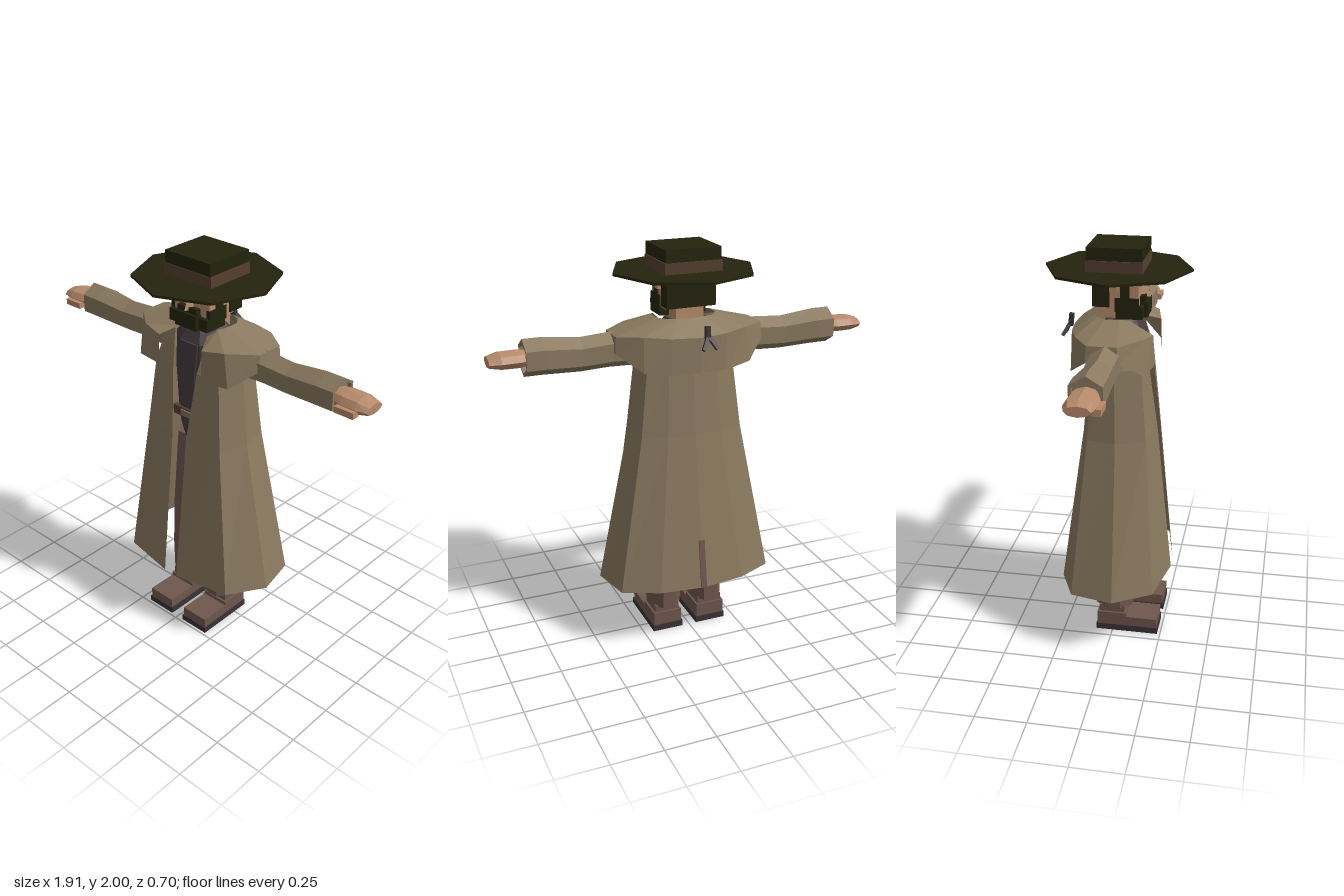
import * as THREE from 'three';

const mat = (name, color, side = THREE.FrontSide) => {
  const m = new THREE.MeshStandardMaterial({ color, side });
  m.name = name;
  return m;
};

// Loft through cross-sections (arrays of [x, y, z]); faces stay flat
function loft(rows, { closed = true, caps = true, flip = false } = {}) {
  const pos = [];
  const tri = (a, b, c) => pos.push(...a, ...(flip ? c : b), ...(flip ? b : c));
  const n = rows[0].length;
  const count = closed ? n : n - 1;
  for (let i = 0; i < rows.length - 1; i++) {
    for (let j = 0; j < count; j++) {
      const k = (j + 1) % n;
      tri(rows[i][j], rows[i][k], rows[i + 1][k]);
      tri(rows[i][j], rows[i + 1][k], rows[i + 1][j]);
    }
  }
  if (caps) {
    const first = rows[0], last = rows[rows.length - 1];
    for (let j = 1; j < n - 1; j++) {
      tri(first[0], first[j + 1], first[j]);
      tri(last[0], last[j], last[j + 1]);
    }
  }
  const g = new THREE.BufferGeometry();
  g.setAttribute('position', new THREE.Float32BufferAttribute(pos, 3));
  g.computeVertexNormals();
  return g;
}

const flat = (g) => {
  const f = g.toNonIndexed();
  f.computeVertexNormals();
  return f;
};

// Mirror a half outline (front to back over +x) to the other side
const mirrorRow = (half) => [
  ...half,
  ...half.filter((p) => p[0] > 0.001).reverse().map(([x, y, z]) => [-x, y, z]),
];

// Upright ring with n sides
const ringY = (n, y, cx, rx, cz, rz, turn = 0.5) =>
  Array.from({ length: n }, (_, i) => {
    const t = ((i + turn) / n) * Math.PI * 2;
    return [cx + Math.sin(t) * rx, y, cz + Math.cos(t) * rz];
  });

// Ring across an arm, with a vertex at the top
const ringX = (s, n, x, cy, ry, rz) =>
  Array.from({ length: n }, (_, i) => {
    const t = (i / n) * Math.PI * 2;
    return [s * x, cy + Math.cos(t) * ry, Math.sin(t) * rz];
  });

export function createModel() {
  const coat = mat('tan coat cloth', 0x8b7a60, THREE.DoubleSide);
  const hat = mat('dark olive hair and hat', 0x23230e);
  const band = mat('brown leather', 0x543f30);
  const skin = mat('skin', 0xb78a6b);
  const vest = mat('charcoal vest', 0x463c3f);
  const cloth = mat('brown trousers', 0x70574e);
  const sole = mat('dark sole', 0x3a3236);
  const metal = mat('buckle', 0x85705c);

  const model = new THREE.Group();
  model.name = 'coatedFigure';
  const add = (name, geometry, material) => {
    const m = new THREE.Mesh(geometry, material);
    m.name = name;
    model.add(m);
    return m;
  };
  // Box given by its limits on each axis
  const box = (name, material, x0, x1, y0, y1, z0, z1) => {
    const m = add(name, new THREE.BoxGeometry(Math.abs(x1 - x0), y1 - y0, z1 - z0), material);
    m.position.set((x0 + x1) / 2, (y0 + y1) / 2, (z0 + z1) / 2);
    return m;
  };

  // Long open coat
  const coatRows = [
    [0.32, [[0.04, 0.28], [0.33, 0.225], [0.445, 0.04], [0.40, -0.17], [0.22, -0.25], [0, -0.277]]],
    [1.1, [[0.045, 0.2], [0.235, 0.17], [0.285, 0.03], [0.26, -0.11], [0.14, -0.15], [0, -0.162]]],
    [1.45, [[0.075, 0.155], [0.2, 0.14], [0.25, 0.02], [0.22, -0.09], [0.12, -0.12], [0, -0.13]]],
    [1.62, [[0.1, 0.11], [0.16, 0.09], [0.2, 0.01], [0.18, -0.07], [0.1, -0.09], [0, -0.1]]],
  ].map(([y, pts]) => mirrorRow(pts.map(([x, z]) => [x, y, z])));
  add('coat', loft(coatRows, { closed: false, caps: false }), coat);

  // Shoulder cape, open at the front
  const capeRows = [
    [[0.135, 1.45, 0.19], [0.28, 1.45, 0.17], [0.375, 1.53, 0.06], [0.375, 1.53, -0.09], [0.27, 1.45, -0.18], [0.14, 1.43, -0.208], [0, 1.43, -0.215]],
    [[0.135, 1.6, 0.185], [0.25, 1.615, 0.16], [0.37, 1.61, 0.055], [0.37, 1.61, -0.085], [0.26, 1.615, -0.16], [0.14, 1.605, -0.2], [0, 1.6, -0.215]],
    [[0.09, 1.63, 0.1], [0.13, 1.665, 0.07], [0.15, 1.67, 0.03], [0.15, 1.67, -0.04], [0.12, 1.67, -0.08], [0.07, 1.67, -0.1], [0, 1.67, -0.105]],
  ].map(mirrorRow);
  add('cape', loft(capeRows, { closed: false, caps: false }), coat);

  // Back vent strip, laid along the slope of the coat
  const vent = box('backVent', cloth, -0.015, 0.015, 0.32, 0.57, -0.263, -0.255);
  vent.rotation.x = 0.146;

  // Clasp on the back of the cape
  const stem = box('claspStem', sole, -0.042, -0.018, 1.595, 1.655, -0.237, -0.215);
  stem.rotation.x = 0.1;
  for (const s of [-1, 1]) {
    const prong = box('claspProng', sole, -0.038, -0.022, 1.545, 1.61, -0.257, -0.24);
    prong.position.x += s * 0.02;
    prong.rotation.set(0.5, 0, s * 0.5);
  }

  // Vest, shirt front, collar and hips
  add('vest', loft([
    ringY(8, 1.0, 0, 0.1, 0, 0.1), ringY(8, 1.13, 0, 0.15, 0, 0.13),
    ringY(8, 1.4, 0, 0.17, 0, 0.13), ringY(8, 1.58, 0, 0.16, 0, 0.13),
    ringY(8, 1.655, 0, 0.09, 0, 0.09),
  ]), vest);
  const front = new THREE.Shape([[-0.055, 1.58], [-0.03, 1.37], [0.03, 1.37], [0.055, 1.58]].map((p) => new THREE.Vector2(...p)));
  add('shirtFront', new THREE.ExtrudeGeometry(front, { depth: 0.008, bevelEnabled: false }), vest).position.z = 0.12;
  box('belt', band, -0.1, 0.1, 1.175, 1.222, 0.11, 0.132);
  box('buckle', metal, -0.048, 0.048, 1.183, 1.214, 0.132, 0.139);

  // Arms, hands, legs and boots
  for (const s of [-1, 1]) {
    const flip = s < 0;
    const sleeve = [
      [0.2, 1.53, 0.09, 0.09], [0.38, 1.53, 0.085, 0.075], [0.52, 1.522, 0.083, 0.072],
      [0.7, 1.535, 0.09, 0.085], [0.79, 1.535, 0.09, 0.085], [0.79, 1.535, 0.075, 0.07], [0.77, 1.535, 0.075, 0.07],
    ].map((r) => ringX(s, 6, ...r));
    add('sleeve', loft(sleeve, { flip }), coat);

    const hand = [
      [0.74, 1.535, 0.035, 0.05], [0.82, 1.535, 0.042, 0.07], [0.9, 1.535, 0.04, 0.072], [0.955, 1.533, 0.024, 0.058],
    ].map((r) => ringX(s, 8, ...r));
    add('hand', loft(hand, { flip }), skin);
    box('thumb', skin, s * 0.81, s * 0.91, 1.5, 1.53, 0.05, 0.09);

    const leg = [
      [0.13, 0.115, 0.086, 0.1], [0.35, 0.115, 0.092, 0.105], [0.6, 0.105, 0.088, 0.11], [1.05, 0.082, 0.07, 0.1],
    ].map(([y, cx, rx, rz]) => ringY(8, y, s * cx, rx, 0, rz));
    add('trouserLeg', loft(leg), cloth);

    box('ankle', cloth, s * 0.055, s * 0.185, 0.09, 0.14, -0.07, 0.06);
    box('bootHeel', cloth, s * 0.045, s * 0.195, 0.08, 0.102, -0.08, 0.07);
    box('boot', cloth, s * 0.045, s * 0.195, 0.03, 0.082, -0.08, 0.23);
    box('sole', sole, s * 0.038, s * 0.2, 0, 0.032, -0.085, 0.235);
  }

  // Head
  box('neck', skin, -0.07, 0.07, 1.62, 1.73, -0.085, 0.02);
  box('head', skin, -0.115, 0.115, 1.71, 1.88, -0.06, 0.11);
  box('backHair', hat, -0.123, 0.123, 1.72, 1.885, -0.105, -0.025);
  box('beard', hat, -0.118, 0.118, 1.665, 1.725, 0.005, 0.13);
  box('chinBeard', hat, -0.065, 0.065, 1.662, 1.735, 0.1, 0.147);
  box('moustache', hat, -0.06, 0.06, 1.73, 1.762, 0.1, 0.135);
  const nose = add('nose', flat(new THREE.CylinderGeometry(0.004, 0.038, 0.085, 3)), skin);
  nose.position.set(0, 1.79, 0.116);
  for (const s of [-1, 1]) {
    box('jawHair', hat, s * 0.1, s * 0.122, 1.7, 1.765, 0.0, 0.112);
    box('sideburn', hat, s * 0.113, s * 0.123, 1.75, 1.88, 0.025, 0.07);
    box('templeHair', hat, s * 0.113, s * 0.123, 1.85, 1.885, -0.03, 0.112);
    box('ear', skin, s * 0.11, s * 0.138, 1.8, 1.86, -0.022, 0.016);
    box('eyebrow', hat, s * 0.03, s * 0.092, 1.838, 1.85, 0.11, 0.117);
    box('eye', sole, s * 0.036, s * 0.085, 1.815, 1.83, 0.11, 0.114);
  }

  // Wide-brimmed hat
  add('hatBrim', flat(new THREE.CylinderGeometry(0.35, 0.35, 0.012, 8)), hat).position.y = 1.881;
  box('hatBand', band, -0.144, 0.144, 1.887, 1.94, -0.133, 0.133);
  box('hatCrown', hat, -0.138, 0.138, 1.935, 2.0, -0.13, 0.13);
  return model;
}
